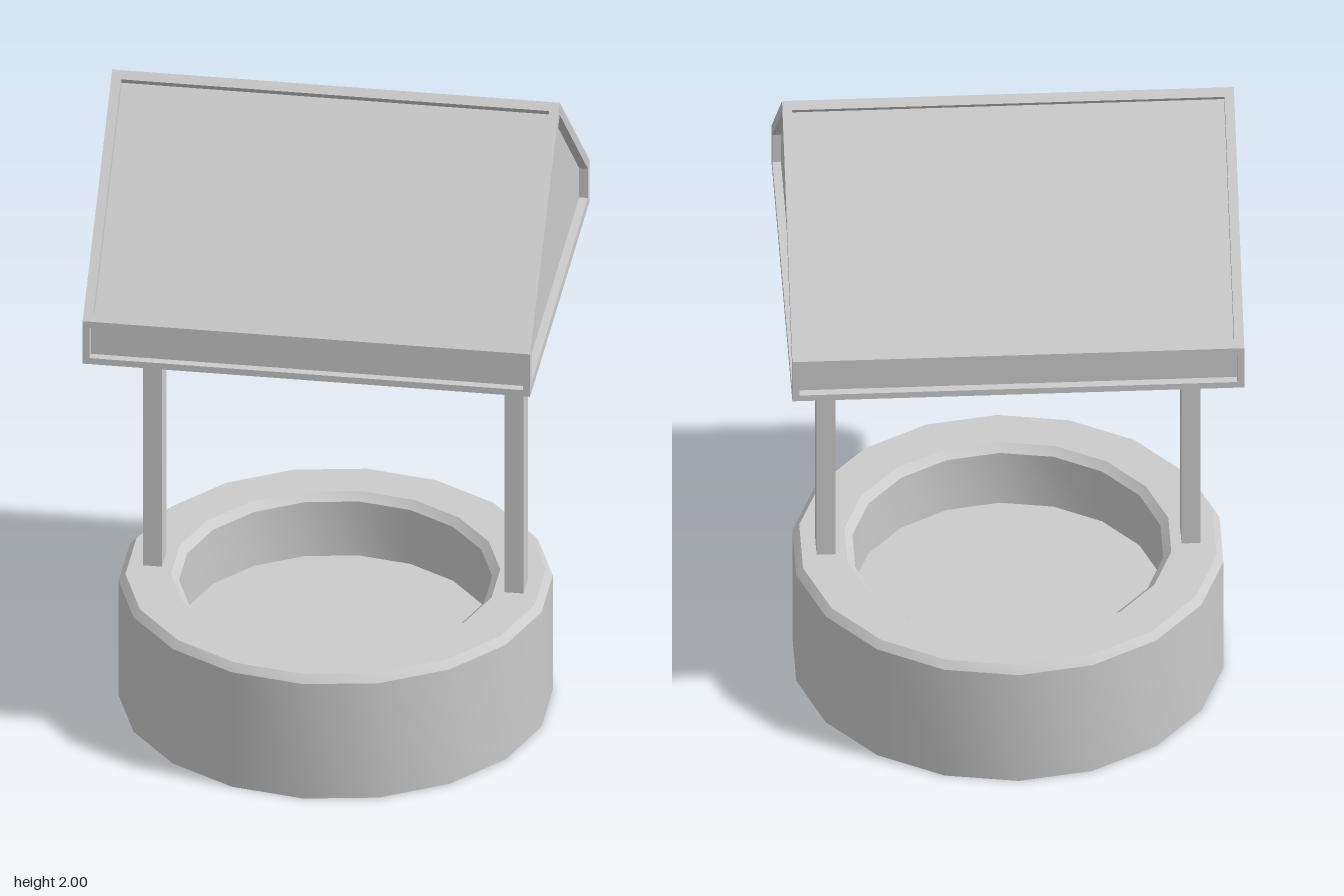
import * as THREE from 'three';
import { toCreasedNormals } from 'three/addons/utils/BufferGeometryUtils.js';

const material = new THREE.MeshStandardMaterial({ color: 0xcccccc });

function add(group, name, geometry, x = 0, y = 0, z = 0) {
  const mesh = new THREE.Mesh(geometry, material);
  mesh.name = name;
  mesh.position.set(x, y, z);
  group.add(mesh);
  return mesh;
}

// Moves every edge of a flat convex polygon inward by d
function inset(poly, d) {
  return poly.map((v, i) => {
    const n = poly.length;
    const u = v.clone().sub(poly[(i + n - 1) % n]).normalize();
    const w = poly[(i + 1) % n].clone().sub(v).normalize();
    const sine = u.clone().cross(w).length();
    return v.clone().add(w.sub(u).multiplyScalar(d / sine));
  });
}

// Writes a convex polygon as a fan of triangles
function face(out, poly) {
  for (let i = 1; i < poly.length - 1; i++) {
    for (const p of [poly[0], poly[i], poly[i + 1]]) out.push(p.x, p.y, p.z);
  }
}

// Joins two matching outlines with quads
function ring(out, a, b) {
  a.forEach((p, i) => {
    const j = (i + 1) % a.length;
    face(out, [p, a[j], b[j], b[i]]);
  });
}

// A face with a raised frame around a sunken panel
function framedPanel(out, poly, border, depth) {
  const normal = poly[1].clone().sub(poly[0])
    .cross(poly[2].clone().sub(poly[1])).normalize();
  const rim = inset(poly, border);
  const panel = rim.map((p) => p.clone().addScaledVector(normal, -depth));
  ring(out, poly, rim);
  ring(out, rim, panel);
  face(out, panel);
}

const V = (x, y, z) => new THREE.Vector3(x, y, z);

// House-shaped outline at a given x, counter-clockwise seen from +x
const outline = (x, half, base, eave, ridge) => [
  V(x, base, half), V(x, base, -half), V(x, eave, -half), V(x, ridge, 0), V(x, eave, half),
];

// Quad spanning the two ends along outline edge i
function edgeQuad(left, right, i) {
  const j = (i + 1) % left.length;
  return [left[j], left[i], right[i], right[j]];
}

function roofGeometry() {
  const out = [];
  const left = outline(0.65, 0.573, 1.35, 1.49, 2);
  const right = outline(-0.65, 0.573, 1.35, 1.49, 2);

  // Gable ends, eaves and slopes
  framedPanel(out, left, 0.03, 0.025);
  framedPanel(out, [...right].reverse(), 0.03, 0.025);
  for (const i of [1, 4]) framedPanel(out, edgeQuad(left, right, i), 0.02, 0.025);
  for (const i of [2, 3]) framedPanel(out, edgeQuad(left, right, i), 0.028, 0.03);

  // Underside with a shallow hollow
  const holeLeft = outline(0.39, 0.34, 1.35, 1.405, 1.46);
  const holeRight = outline(-0.39, 0.34, 1.35, 1.405, 1.46);
  ring(out, edgeQuad(left, right, 0), edgeQuad(holeLeft, holeRight, 0));
  face(out, [...holeLeft].reverse());
  face(out, holeRight);
  for (const i of [1, 2, 3, 4]) face(out, edgeQuad(holeLeft, holeRight, i).reverse());

  const geometry = new THREE.BufferGeometry();
  geometry.setAttribute('position', new THREE.Float32BufferAttribute(out, 3));
  geometry.computeVertexNormals();
  return geometry;
}

export function createModel() {
  const group = new THREE.Group();
  group.name = 'well';

  // Round basin with bevelled rim and a floor inside
  const profile = [
    [0, 0], [0.624, 0], [0.624, 0.378], [0.604, 0.4],
    [0.473, 0.4], [0.45, 0.378], [0.45, 0.2], [0, 0.2],
  ].map(([r, y]) => new THREE.Vector2(r, y));
  add(group, 'basin', toCreasedNormals(new THREE.LatheGeometry(profile, 18), 0.5));

  // Posts standing on the rim
  for (const side of [1, -1]) {
    add(group, side > 0 ? 'leftPost' : 'rightPost',
      new THREE.BoxGeometry(0.055, 0.97, 0.09), side * 0.525, 0.875, 0.002);
  }

  // Bar between the posts
  add(group, 'crossbar', new THREE.BoxGeometry(1.0, 0.04, 0.04), 0, 1.06, 0.002);

  add(group, 'roof', roofGeometry(), 0, 0, -0.007);
  return group;
}
